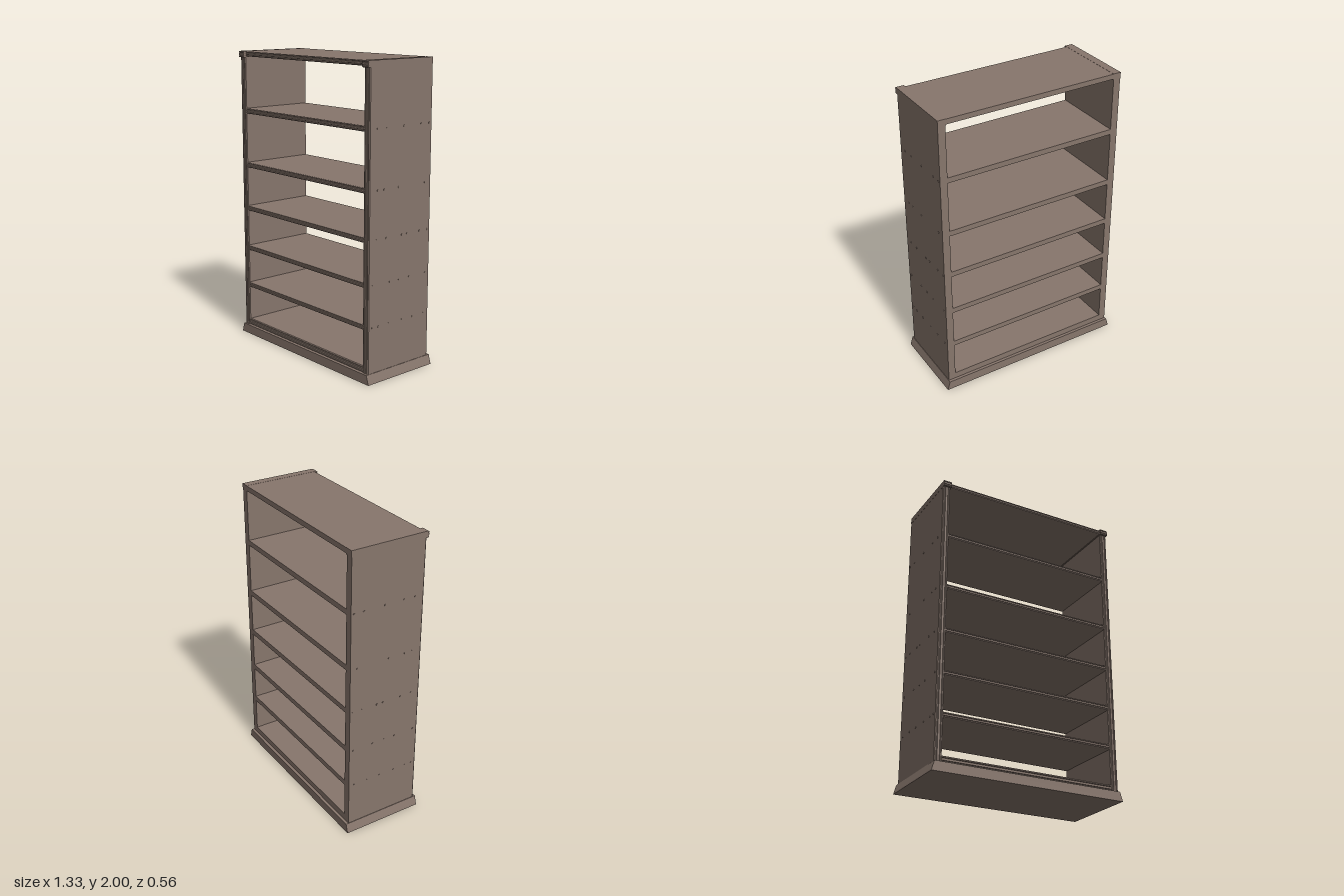
import * as THREE from 'three';

const wood = new THREE.MeshStandardMaterial({ color: 0x87766c });
wood.name = 'brown wood';

// Board along x, thickness in y, depth in z, with two fine grooves in its front edge
function boardGeometry(length, thickness, back, front) {
  const h = thickness / 2, g = 0.006;
  const s = new THREE.Shape();
  s.moveTo(back, -h);
  s.lineTo(front - g, -h);
  s.lineTo(front, -h * 0.8);
  for (const v of [-0.4, 0.4]) {
    s.lineTo(front, h * (v - 0.12));
    s.lineTo(front - g, h * v);
    s.lineTo(front, h * (v + 0.12));
  }
  s.lineTo(front, h * 0.8);
  s.lineTo(front - g, h);
  s.lineTo(back, h);
  s.closePath();
  const geo = new THREE.ExtrudeGeometry(s, { depth: length, bevelEnabled: false });
  geo.translate(0, 0, -length / 2);
  geo.rotateY(-Math.PI / 2);
  return geo;
}

export function createModel() {
  const bookcase = new THREE.Group();
  bookcase.name = 'bookcase';

  const add = (name, geo, x, y, z, parent = bookcase) => {
    const mesh = new THREE.Mesh(geo, wood);
    mesh.name = name;
    mesh.position.set(x, y, z);
    parent.add(mesh);
    return mesh;
  };

  // Plinth with ends that flare outward toward the floor
  const plinth = new THREE.Shape();
  [[-0.665, 0], [0.665, 0], [0.662, 0.012], [0.647, 0.062], [-0.647, 0.062], [-0.662, 0.012]]
    .forEach(([x, y], i) => (i ? plinth.lineTo(x, y) : plinth.moveTo(x, y)));
  plinth.closePath();
  add('plinth', new THREE.ExtrudeGeometry(plinth, { depth: 0.558, bevelEnabled: false }), 0, 0, -0.28);

  // Shelves, and the top board
  const shelfGeo = boardGeometry(1.2, 0.036, -0.26, 0.26);
  const shelfHeights = [0.36, 0.631, 0.916, 1.222, 1.596];
  shelfHeights.forEach((y) => add('shelf', shelfGeo, 0, y, 0));
  add('bottomShelf', boardGeometry(1.2, 0.044, -0.26, 0.26), 0, 0.083, 0);
  add('topBoard', boardGeometry(1.2, 0.034, -0.262, 0.26), 0, 1.982, 0);

  // Side panels with end caps on top
  const sideGeo = boardGeometry(1.9, 0.05, -0.26, 0.264);
  sideGeo.rotateZ(Math.PI / 2);
  const capGeo = boardGeometry(0.055, 0.042, -0.262, 0.279);

  // Depth positions of the peg heads beside each shelf
  const pegRows = [
    [0.23, 0.18, 0.09, -0.025, -0.12, -0.22],
    [0.23, 0.085, 0.005, -0.085, -0.23],
    [0.2, 0.12, -0.015, -0.06, -0.17, -0.24],
    [0.195, 0.14, 0.02, -0.21],
    [0.2, 0.12, -0.02, -0.17, -0.24],
  ];
  const pegGeo = new THREE.CylinderGeometry(0.006, 0.006, 0.008, 8);
  pegGeo.rotateZ(Math.PI / 2);

  for (const side of [1, -1]) {
    const label = side > 0 ? 'left' : 'right';
    add(label + 'Panel', sideGeo, side * 0.619, 1.01, 0);
    add(label + 'TopCap', capGeo, side * 0.6175, 1.979, 0);
    const pegs = new THREE.Group();
    pegs.name = label + 'Pegs';
    pegRows.forEach((row, i) =>
      row.forEach((z) => add('peg', pegGeo, side * 0.643, shelfHeights[i], z, pegs)));
    bookcase.add(pegs);
  }

  return bookcase;
}
